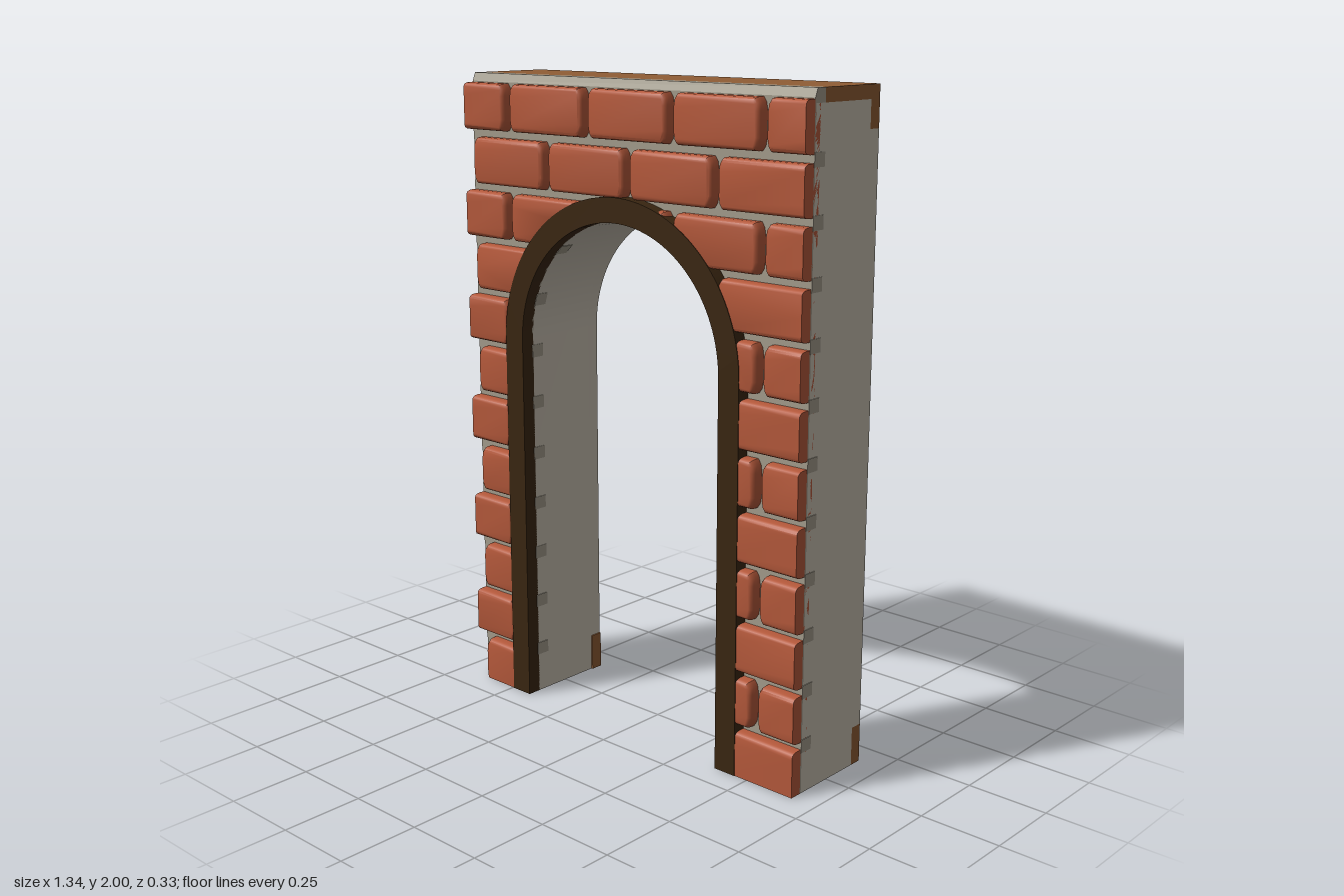
import * as THREE from 'three';
import { toCreasedNormals } from 'three/addons/utils/BufferGeometryUtils.js';

const mat = (name, color) => {
  const m = new THREE.MeshStandardMaterial({ color });
  m.name = name;
  return m;
};

const HALF = 0.667, CX = -0.02, SPRING = 1.19, R_IN = 0.4, R_OUT = 0.475, R_MID = 0.44;
const Z_BACK = -0.165, Z_LIP = -0.125, Z_CAP = 0.08, Z_FACE = 0.125;
const PITCH = 1 / 6;

export function createModel() {
  const plaster = mat('plaster', 0xc8c0b2);
  const mortar = mat('mortar', 0xa39c8c);
  const brickRed = mat('brick red', 0xb5593b);
  const wood = mat('brown wood', 0x905d35);
  const darkTrim = mat('dark trim', 0x3a2611);
  const group = new THREE.Group();
  group.name = 'archedWall';

  const add = (name, geo, material) => {
    const mesh = new THREE.Mesh(geo, material);
    mesh.name = name;
    group.add(mesh);
    return mesh;
  };
  const box = (name, x0, x1, y0, y1, z0, z1, material) => {
    const mesh = add(name, new THREE.BoxGeometry(x1 - x0, y1 - y0, z1 - z0), material);
    mesh.position.set((x0 + x1) / 2, (y0 + y1) / 2, (z0 + z1) / 2);
    return mesh;
  };
  const slab = (name, shape, z0, z1, material) => {
    const geo = new THREE.ExtrudeGeometry(shape, { depth: z1 - z0, bevelEnabled: false, curveSegments: 32 });
    geo.translate(0, 0, z0);
    return add(name, toCreasedNormals(geo, 0.5), material);
  };

  // Outline that ends in the arched doorway
  const cutDoor = (shape, y0) => {
    shape.lineTo(CX + R_IN, y0);
    shape.lineTo(CX + R_IN, SPRING);
    shape.absarc(CX, SPRING, R_IN, 0, Math.PI, false);
    shape.lineTo(CX - R_IN, y0);
    return shape;
  };
  const wallShape = (y0, y1) => {
    const s = new THREE.Shape();
    s.moveTo(-HALF, y0);
    s.lineTo(-HALF, y1);
    s.lineTo(HALF, y1);
    s.lineTo(HALF, y0);
    return cutDoor(s, y0);
  };

  // Wall body, recessed behind the wooden top and base boards
  slab('wallCore', wallShape(0, 1.96), Z_LIP, 0.12, plaster);
  slab('wallBack', wallShape(0.12, 1.88), Z_BACK, Z_LIP, plaster);
  slab('mortarFace', wallShape(0, 1.96), 0.12, Z_FACE, mortar);

  // Wooden cap with a lip on the back, and base boards on both legs
  box('topCap', -HALF, HALF, 1.96, 2, Z_BACK, Z_CAP, wood);
  box('topLip', -HALF, HALF, 1.88, 1.96, Z_BACK, Z_LIP, wood);
  box('baseBoardRight', -HALF, CX - R_IN + 0.005, 0, 0.12, Z_BACK, Z_LIP, wood);
  box('baseBoardLeft', CX + R_IN - 0.005, HALF, 0, 0.12, Z_BACK, Z_LIP, wood);

  // Chamfered mortar strip along the top front edge (profile in -z, y)
  const edge = new THREE.Shape([[-Z_FACE, 1.96], [-Z_CAP, 1.96], [-Z_CAP, 2], [-0.115, 2], [-Z_FACE, 1.975]]
    .map(([x, y]) => new THREE.Vector2(x, y)));
  const edgeGeo = new THREE.ExtrudeGeometry(edge, { depth: 2 * HALF, bevelEnabled: false });
  edgeGeo.rotateY(Math.PI / 2);
  edgeGeo.translate(-HALF, 0, 0);
  add('topMortarEdge', edgeGeo, mortar);

  // Mortar joints showing on the outer sides and inside the doorway
  for (let i = 0; i < 11; i++) {
    const y = 0.147 + i * PITCH;
    for (const side of [-1, 1]) {
      box('sideJoint', side * HALF - 0.002, side * HALF + 0.002, y - 0.02, y + 0.02, Z_CAP, Z_FACE, mortar);
      const rise = Math.max(0, y - SPRING) / R_IN;
      if (rise > 0.8) continue;
      const a = Math.asin(rise);
      const joint = box('doorwayJoint', -0.002, 0.002, -0.02, 0.02, Z_CAP, Z_FACE, mortar);
      joint.position.x = CX + side * R_IN * Math.cos(a);
      joint.position.y = y;
      joint.rotation.z = side * a;
    }
  }

  // Dark trim around the doorway
  const trim = new THREE.Shape();
  trim.moveTo(CX - R_OUT, 0);
  trim.lineTo(CX - R_OUT, SPRING);
  trim.absarc(CX, SPRING, R_OUT, Math.PI, 0, true);
  trim.lineTo(CX + R_OUT, 0);
  slab('doorTrim', cutDoor(trim, 0), 0.12, 0.166, darkTrim);

  // Half width of the space kept free of bricks at a height
  const clearance = (y) => {
    if (y <= SPRING) return R_MID;
    const d = R_MID ** 2 - (y - SPRING) ** 2;
    return d > 0 ? Math.sqrt(d) : -Infinity;
  };

  // One pillowed brick, trimmed to the arch and cut flush at the wall ends
  const brick = (x0, x1, y0, y1) => {
    const leftPts = [], rightPts = [];
    const onPlusSide = (x0 + x1) / 2 > CX;
    for (const t of [0, 0.1, 0.25, 0.5, 0.75, 0.9, 1]) {
      const y = y0 + (y1 - y0) * t;
      const w = clearance(y);
      const inset = t === 0 || t === 1 ? 0.014 : t === 0.1 || t === 0.9 ? 0.004 : 0;
      const a = (onPlusSide ? Math.max(x0, CX + w) : x0) + inset;
      const b = (onPlusSide ? x1 : Math.min(x1, CX - w)) - inset;
      if (b - a < 0.04) continue;
      leftPts.push(new THREE.Vector2(a, y));
      rightPts.unshift(new THREE.Vector2(b, y));
    }
    if (leftPts.length < 3) return;
    const geo = new THREE.ExtrudeGeometry(new THREE.Shape([...rightPts, ...leftPts]), {
      depth: 0.02, bevelThickness: 0.022, bevelSize: 0.012, bevelOffset: -0.012, bevelSegments: 3,
    });
    geo.translate(0, 0, 0.122);
    const p = geo.attributes.position;
    for (let i = 0; i < p.count; i++) {
      p.setX(i, THREE.MathUtils.clamp(p.getX(i), -HALF, HALF));
      p.setY(i, Math.max(p.getY(i), 0));
    }
    add('brick', toCreasedNormals(geo, 0.7), brickRed);
  };

  // Twelve courses in running bond
  for (let row = 0; row < 12; row++) {
    const yc = 0.066 + row * PITCH;
    const start = row % 2 ? -0.645 : -0.479;
    for (let k = 0; k < 5; k++) {
      const xc = start + k / 3;
      if (xc - 0.155 > HALF - 0.03) continue;
      const x0 = xc - 0.155 < -HALF ? -0.7 : xc - 0.155;
      const x1 = xc + 0.155 > HALF - 0.005 ? 0.7 : xc + 0.155;
      brick(x0, x1, row ? yc - 0.072 : -0.03, yc + 0.072);
    }
  }
  return group;
}
